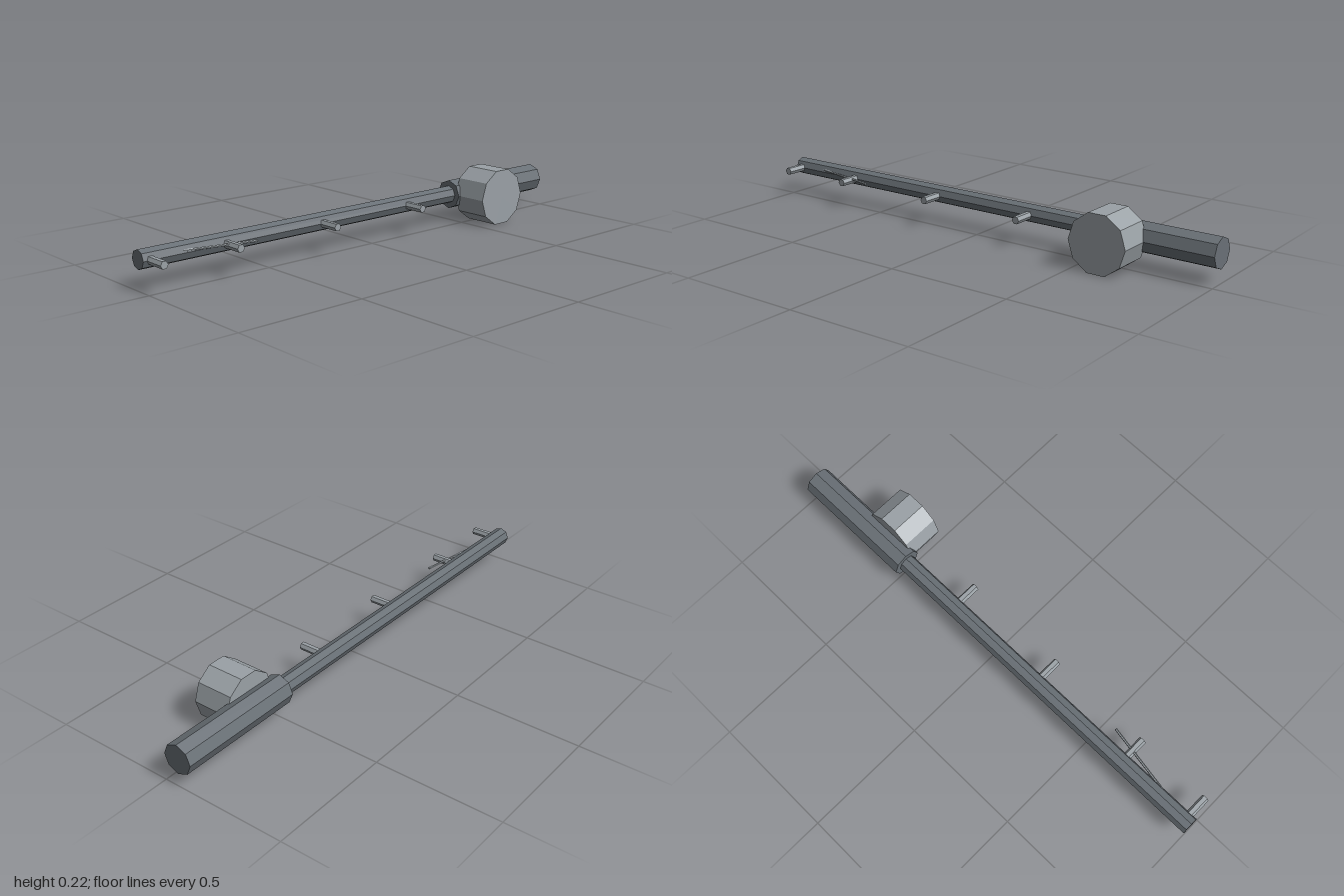
import * as THREE from 'three';

const AXIS_X = -0.062, AXIS_Y = 0.112;

export function createModel() {
  const group = new THREE.Group();
  const material = (name, color) => {
    const m = new THREE.MeshStandardMaterial({ color, flatShading: true });
    m.name = name;
    return m;
  };
  const darkGrey = material('dark grey', 0x697076);
  const lightGrey = material('light grey', 0x9aa1a6);

  // Faceted bar between two points
  const bar = (name, from, to, radius, sides, mat) => {
    const a = new THREE.Vector3(...from), b = new THREE.Vector3(...to);
    const dir = b.clone().sub(a);
    const mesh = new THREE.Mesh(new THREE.CylinderGeometry(radius, radius, dir.length(), sides), mat);
    mesh.position.copy(a).add(b).multiplyScalar(0.5);
    mesh.quaternion.setFromUnitVectors(new THREE.Vector3(0, 1, 0), dir.normalize());
    mesh.name = name;
    group.add(mesh);
  };

  // Pole and thicker grip, both octagonal
  bar('pole', [AXIS_X, AXIS_Y, -0.6], [AXIS_X, AXIS_Y, 1], 0.036, 8, darkGrey);
  bar('grip', [AXIS_X, AXIS_Y, -1], [AXIS_X, AXIS_Y, -0.485], 0.059, 8, darkGrey);

  // Ten-sided reel drum on the left side
  bar('reel', [-0.03, AXIS_Y, -0.61], [0.12, AXIS_Y, -0.61], 0.117, 10, lightGrey);

  // Line guides along the pole
  [0.97, 0.66, 0.22, -0.22].forEach((z, i) =>
    bar('lineGuide' + (i + 1), [-0.05, AXIS_Y, z], [0.055, AXIS_Y, z], 0.0155, 6, lightGrey));

  // Short slanted piece of line
  bar('line', [-0.038, 0.12, 0.865], [0.016, 0.115, 0.56], 0.005, 6, lightGrey);

  return group;
}
